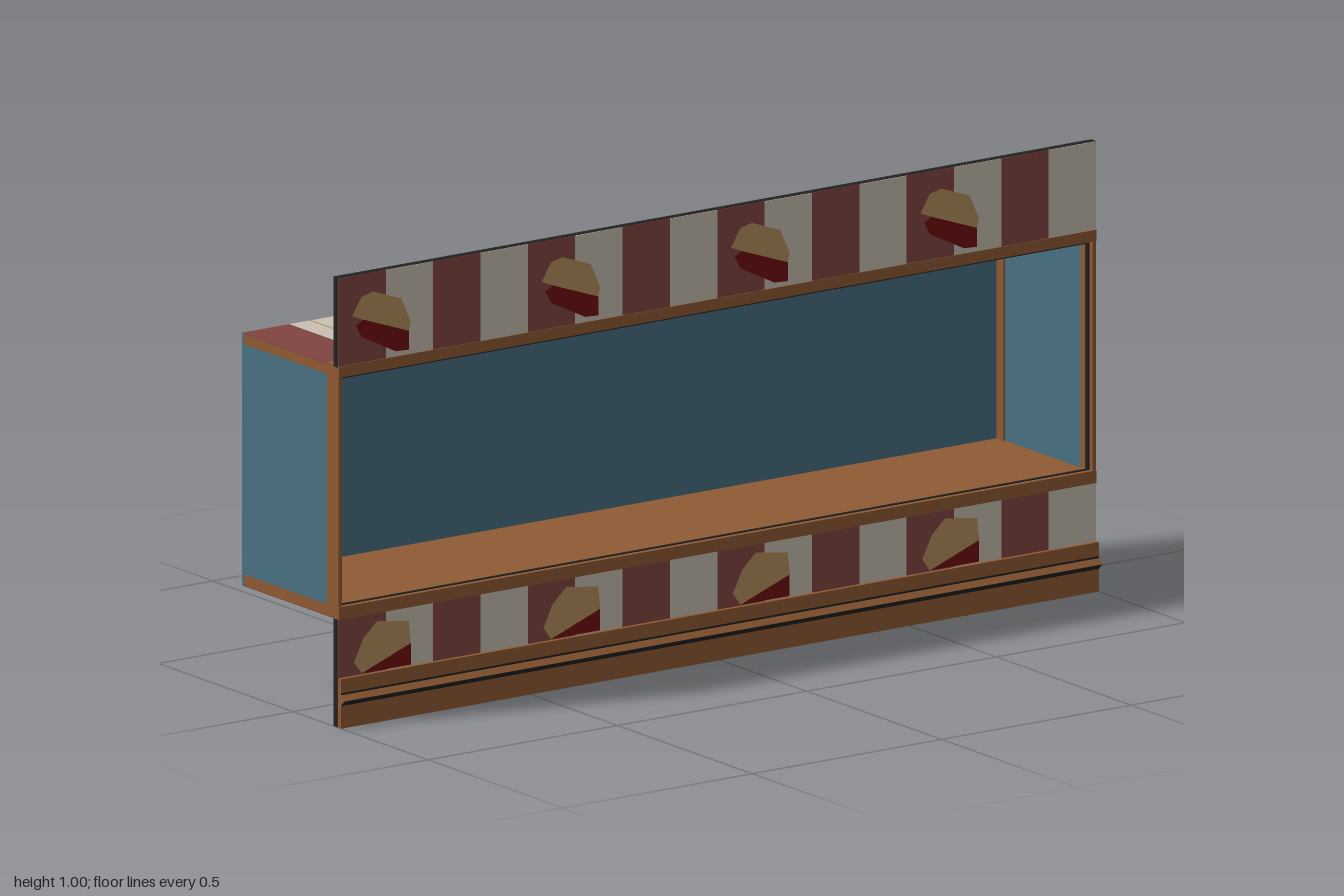
import * as THREE from 'three';

const mat = (name, color) => {
  const m = new THREE.MeshStandardMaterial({ color });
  m.name = name;
  return m;
};

export function createModel() {
  const root = new THREE.Group();
  root.name = 'shopWindowBay';
  const wood = mat('wood', 0x8f5a33);
  const blue = mat('blue', 0x477082);
  const black = mat('black', 0x222222);
  const red = mat('stripeRed', 0x804542);
  const cream = mat('stripeCream', 0xc9c1b1);
  const tan = mat('crust', 0xb8905c);
  const filling = mat('filling', 0x720c0c);

  // Box given by its min and max on each axis
  const box = (name, m, x0, x1, y0, y1, z0, z1, parent = root) => {
    const mesh = new THREE.Mesh(new THREE.BoxGeometry(x1 - x0, y1 - y0, z1 - z0), m);
    mesh.position.set((x0 + x1) / 2, (y0 + y1) / 2, (z0 + z1) / 2);
    mesh.name = name;
    parent.add(mesh);
    return mesh;
  };

  // Sixteen alternating stripes along x
  const stripes = (name, y0, y1, z0, z1) => {
    const g = new THREE.Group();
    g.name = name;
    for (let i = 0; i < 16; i++) {
      const x = -1 + i * 0.125;
      box('stripe', i % 2 ? cream : red, x, x + 0.125, y0, y1, z0, z1, g);
    }
    root.add(g);
  };

  // Flat pattern piece repeated four times on the wall front
  const motif = (name, m, pts) => {
    const geo = new THREE.ShapeGeometry(new THREE.Shape(pts.map(p => new THREE.Vector2(...p))));
    for (let i = 0; i < 4; i++) {
      const mesh = new THREE.Mesh(geo, m);
      mesh.position.set(-1 + i * 0.5, 0, 0.1695);
      mesh.name = name;
      root.add(mesh);
    }
  };

  // Wall panels above and below the bay, papered on the front
  box('upperWall', black, -1, 1, 0.8, 1, 0.15, 0.166);
  box('lowerWall', black, -1, 1, 0, 0.24, 0.15, 0.166);
  stripes('upperWallpaper', 0.803, 0.999, 0.166, 0.168);
  stripes('lowerWallpaper', 0.1, 0.24, 0.166, 0.168);

  // Cake slices on the wallpaper
  motif('upperCakeTop', tan, [[0.035, 0.91], [0.06, 0.95], [0.09, 0.957], [0.165, 0.93],
    [0.19, 0.875], [0.185, 0.855], [0.065, 0.898]]);
  motif('upperCakeFilling', filling, [[0.045, 0.888], [0.065, 0.898], [0.185, 0.855],
    [0.185, 0.813], [0.15, 0.815], [0.06, 0.86]]);
  motif('lowerCakeTop', tan, [[0.04, 0.14], [0.065, 0.19], [0.1, 0.222], [0.185, 0.21],
    [0.19, 0.16], [0.06, 0.112]]);
  motif('lowerCakeFilling', filling, [[0.06, 0.112], [0.19, 0.16], [0.19, 0.112]]);

  // Baseboard with a pointed rail
  box('baseboard', wood, -1, 1, 0, 0.11, 0.166, 0.178);
  const profile = new THREE.Shape([[0.176, 0.05], [0.19, 0.063], [0.176, 0.078]]
    .map(p => new THREE.Vector2(...p)));
  const railGeo = new THREE.ExtrudeGeometry(profile, { depth: 2, bevelEnabled: false });
  railGeo.rotateY(-Math.PI / 2).translate(1, 0, 0);
  const rail = new THREE.Mesh(railGeo, wood);
  rail.name = 'baseboardRail';
  root.add(rail);
  // Dark grooves around the rail
  const groove = box('railUnderside', black, -1, 1, -0.009, 0.009, -0.0005, 0.0005);
  groove.position.set(0, 0.0565, 0.1835);
  groove.rotation.x = Math.PI / 4;
  box('railGroove', black, -1, 1, 0.074, 0.079, 0.178, 0.179);

  // Bay box: back, floor, roof
  box('backPanel', blue, -1, 1, 0.241, 0.801, -0.19, -0.182);
  box('roof', wood, -1, 1, 0.778, 0.8, -0.182, 0.15);
  box('floor', wood, -1, 1, 0.242, 0.266, -0.182, 0.15);
  stripes('roofCover', 0.8, 0.802, -0.19, 0.15);
  stripes('bayUnderside', 0.24, 0.242, -0.19, 0.15);
  // Thin crust lines on the roof
  [[-0.82, 0.004], [-0.32, 0.026], [0.185, 0.006], [0.68, 0.024]].forEach(([x, w]) =>
    box('roofLine', tan, x - w / 2, x + w / 2, 0.8, 0.8025, -0.19, 0.15));

  // Front frame bars with dark inner trim
  box('frameTop', wood, -1, 1, 0.778, 0.803, 0.125, 0.17);
  box('frameBottom', wood, -1, 1, 0.24, 0.268, 0.125, 0.17);
  box('trimTop', black, -0.99, 0.99, 0.772, 0.778, 0.15, 0.158);
  box('trimBottom', black, -0.99, 0.99, 0.262, 0.27, 0.15, 0.158);

  // Side panels, front posts, back corner posts
  for (const s of [-1, 1]) {
    const side = (name, m, a, b, y0, y1, z0, z1) =>
      box(name, m, Math.min(s * a, s * b), Math.max(s * a, s * b), y0, y1, z0, z1);
    side('sidePanel', blue, 0.99, 1, 0.266, 0.778, -0.182, 0.125);
    side('frontPost', wood, 0.99, 1, 0.266, 0.78, 0.125, 0.168);
    side('postTrim', black, 0.984, 0.99, 0.268, 0.778, 0.15, 0.158);
    side('cornerPost', wood, 0.986, 0.99, 0.266, 0.778, -0.182, -0.155);
  }
  return root;
}
